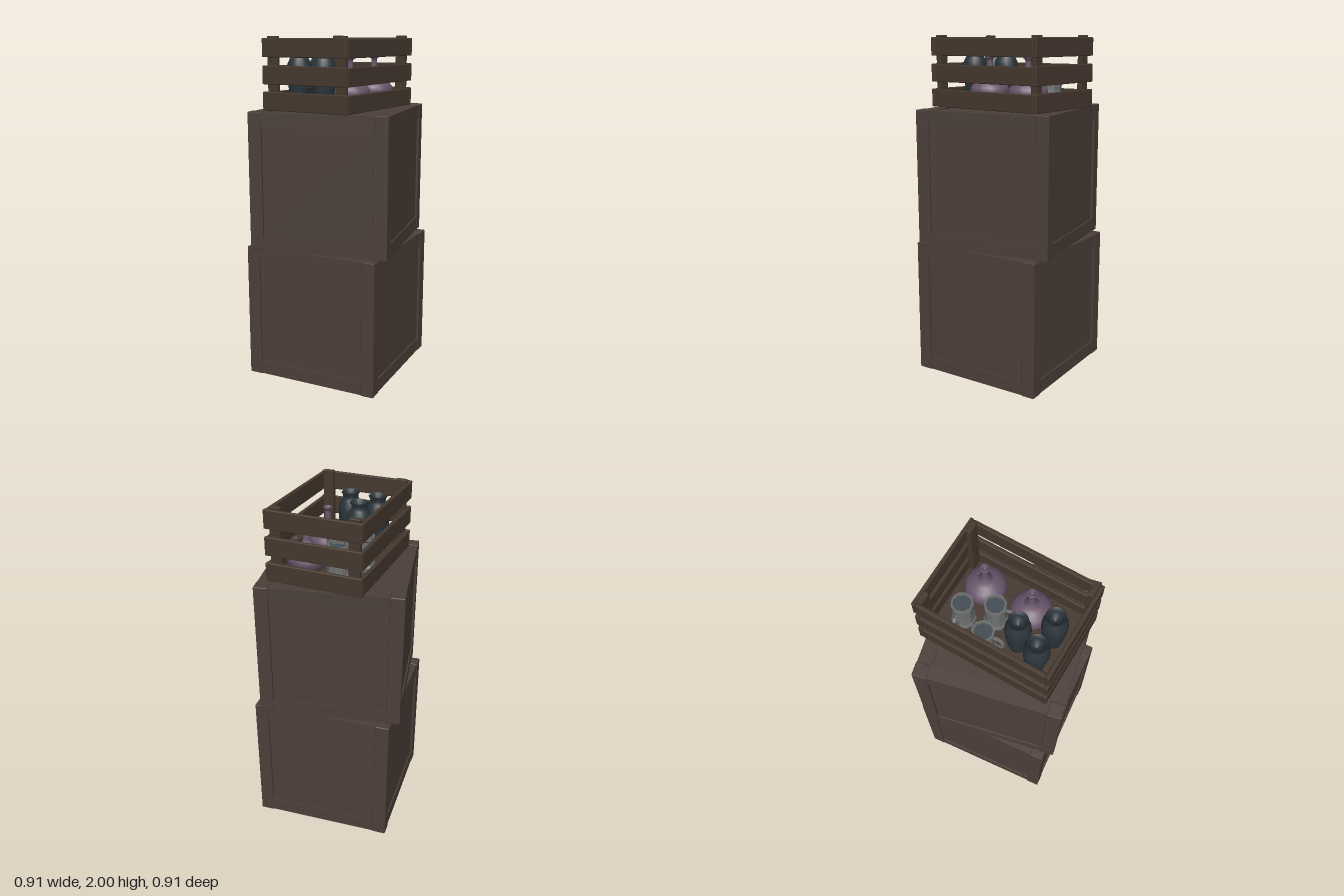
import * as THREE from 'three';
import { RoundedBoxGeometry } from 'three/addons/geometries/RoundedBoxGeometry.js';

const mat = (name, color, extra = {}) => {
  const m = new THREE.MeshStandardMaterial({ color, ...extra });
  m.name = name;
  return m;
};

export function createModel() {
  const wood = mat('crate wood', 0x4c3f39);
  const slatWood = mat('slat wood', 0x46392f);
  const purple = mat('purple glaze', 0x69546a, { side: THREE.DoubleSide });
  const dark = mat('dark glaze', 0x2c353b, { side: THREE.DoubleSide });
  const pewter = mat('pewter', 0x6c6e6e, { side: THREE.DoubleSide, flatShading: true });
  const slate = mat('slate drink', 0x424b54);

  const add = (parent, name, geo, material, x = 0, y = 0, z = 0) => {
    const mesh = new THREE.Mesh(geo, material);
    mesh.name = name;
    mesh.position.set(x, y, z);
    parent.add(mesh);
    return mesh;
  };
  const group = (parent, name, x, y, z, turn = 0) => {
    const g = new THREE.Group();
    g.name = name;
    g.position.set(x, y, z);
    g.rotation.y = turn;
    parent.add(g);
    return g;
  };
  const lathe = (pts, segments) =>
    new THREE.LatheGeometry(pts.map(([r, y]) => new THREE.Vector2(r, y)), segments);

  const model = new THREE.Group();
  model.name = 'crateStack';

  // Closed crate: recessed panels, corner posts and edge rails
  const S = 0.812, H = 0.795, W = 0.08;
  const closedCrate = (name, y, turn) => {
    const g = group(model, name, 0, y, 0, turn);
    add(g, 'panels', new THREE.BoxGeometry(S - 0.026, H - 0.02, S - 0.026), wood, 0, H / 2, 0);
    const post = new RoundedBoxGeometry(W, H, W, 1, 0.005);
    const railX = new THREE.BoxGeometry(S - 2 * W, W, W);
    const railZ = new THREE.BoxGeometry(W, W, S - 2 * W);
    const e = (S - W) / 2;
    for (const a of [-1, 1]) {
      for (const b of [-1, 1]) {
        add(g, 'cornerPost', post, wood, a * e, H / 2, b * e);
        const ry = H / 2 + b * (H / 2 - W / 2 - 0.003);
        add(g, 'railAcross', railX, wood, 0, ry, a * (e - 0.004));
        add(g, 'railAlong', railZ, wood, a * (e - 0.004), ry, 0);
      }
    }
  };
  closedCrate('lowerCrate', 0, 0);
  closedCrate('upperCrate', H, 0.13);

  // Open slatted crate
  const CW = 0.553, CD = 0.762, T = 0.022;
  const open = group(model, 'openCrate', 0, 1.59, -0.003, -0.098);
  const slatX = new RoundedBoxGeometry(CW, 0.104, T, 1, 0.005);
  const slatZ = new RoundedBoxGeometry(T, 0.1, CD - 2 * T, 1, 0.005);
  const cornerPost = new RoundedBoxGeometry(0.064, 0.408, 0.03, 1, 0.004);
  for (const s of [-1, 1]) {
    for (const y of [0.052, 0.197, 0.346]) {
      add(open, 'endSlat', slatX, slatWood, 0, y, s * (CD - T) / 2);
      add(open, 'sideSlat', slatZ, slatWood, s * (CW - T) / 2, y - 0.002, 0);
    }
    for (const t of [-1, 1])
      add(open, 'innerPost', cornerPost, slatWood, s * (CW / 2 - T - 0.032), 0.206, t * (CD / 2 - T - 0.015));
  }
  const planks = 5, pw = (CW - 2 * T) / planks;
  for (let i = 0; i < planks; i++)
    add(open, 'floorPlank', new THREE.BoxGeometry(pw - 0.002, 0.014, CD - 2 * T), slatWood,
      (i - (planks - 1) / 2) * pw, 0.012, 0);

  const floor = 1.609;

  // Round bottles with a faceted flare at the foot of the neck
  const bottleBody = lathe([[0, 0], [0.07, 0], [0.1, 0.03], [0.114, 0.07], [0.108, 0.098],
    [0.088, 0.124], [0.058, 0.143], [0.028, 0.153], [0, 0.156]], 20);
  const bottleNeck = lathe([[0.056, 0.138], [0.033, 0.158], [0.021, 0.185], [0.017, 0.245], [0.018, 0.258],
    [0.027, 0.264], [0.027, 0.272], [0.016, 0.274], [0.012, 0.25], [0, 0.245]], 8);
  for (const [x, z] of [[0.133, -0.196], [0.105, 0.08]]) {
    const g = group(model, 'bottle', x, floor, z);
    add(g, 'bottleBody', bottleBody, purple);
    add(g, 'bottleNeck', bottleNeck, purple);
  }

  // Tall dark jars with flared open mouths
  const jar = lathe([[0, 0], [0.046, 0], [0.054, 0.04], [0.066, 0.14], [0.07, 0.2], [0.066, 0.24],
    [0.05, 0.272], [0.043, 0.286], [0.046, 0.302], [0.053, 0.312], [0.048, 0.317],
    [0.036, 0.295], [0.03, 0.262], [0, 0.25]], 18);
  for (const [x, z] of [[-0.077, 0.085], [-0.147, 0.218], [0.021, 0.243]])
    add(model, 'jar', jar, dark, x, floor, z);

  // Faceted tankards with a handle
  const mug = lathe([[0, 0], [0.068, 0], [0.068, 0.018], [0.06, 0.032], [0.056, 0.09],
    [0.055, 0.165], [0.062, 0.172], [0.06, 0.19], [0.05, 0.19], [0.049, 0.165]], 9);
  const drink = new THREE.CylinderGeometry(0.05, 0.05, 0.008, 9);
  const handlePath = new THREE.CatmullRomCurve3([[0.05, 0.155], [0.09, 0.16], [0.108, 0.135], [0.1, 0.08], [0.052, 0.05]]
    .map(([x, y]) => new THREE.Vector3(x, y, 0)));
  const handle = new THREE.TubeGeometry(handlePath, 10, 0.01, 6);
  for (const [x, z, turn] of [[-0.056, -0.236, Math.PI], [-0.152, -0.073, -Math.PI / 2], [0.005, -0.078, -1.47]]) {
    const g = group(model, 'tankard', x, floor, z, turn);
    add(g, 'tankardBody', mug, pewter);
    add(g, 'tankardDrink', drink, slate, 0, 0.168, 0);
    add(g, 'tankardHandle', handle, pewter);
  }

  return model;
}
